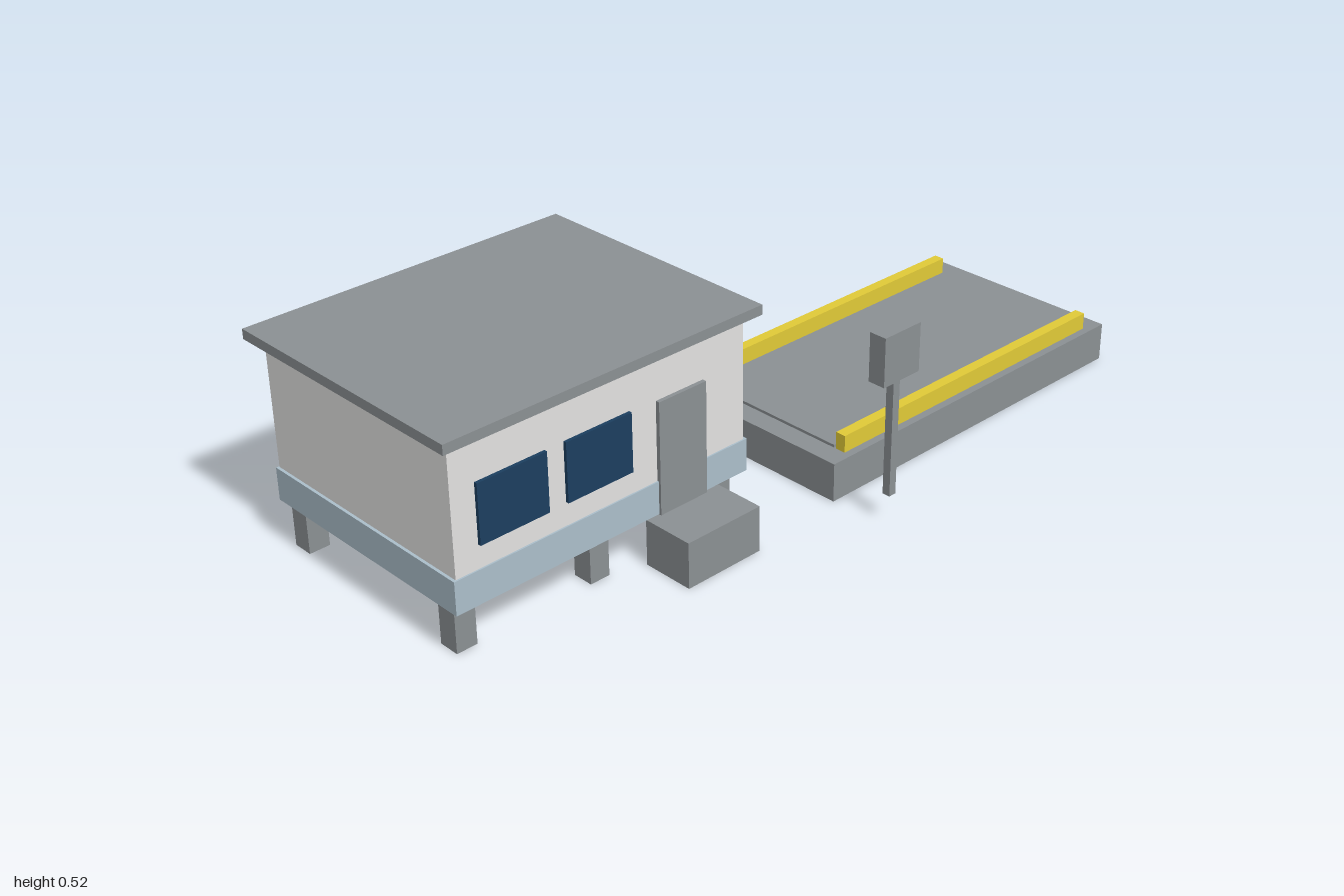
import * as THREE from 'three';

const mat = (name, color) => {
  const m = new THREE.MeshStandardMaterial({ color });
  m.name = name;
  return m;
};

export function createModel() {
  const root = new THREE.Group();
  root.name = 'cabinAndPlatform';
  const grey = mat('grey', 0x8c9194);
  const wall = mat('paleWall', 0xe4e3e2);
  const blue = mat('blueGrey', 0xacbfcb);
  const glass = mat('darkGlass', 0x1c3f60);
  const yellow = mat('yellow', 0xe2cb38);

  // box given by its lower and upper limits on each axis
  const box = (name, material, [x0, x1], [y0, y1], [z0, z1], parent = root) => {
    const mesh = new THREE.Mesh(new THREE.BoxGeometry(x1 - x0, y1 - y0, z1 - z0), material);
    mesh.position.set((x0 + x1) / 2, (y0 + y1) / 2, (z0 + z1) / 2);
    mesh.name = name;
    parent.add(mesh);
  };

  // raised cabin; the walls reach just below the skirt and form the floor
  const cabin = new THREE.Group();
  cabin.name = 'cabin';
  root.add(cabin);
  box('walls', wall, [-0.97, -0.18], [0.113, 0.5], [-0.422, 0.19], cabin);
  box('skirt', blue, [-0.977, -0.173], [0.114, 0.194], [-0.425, 0.194], cabin);
  box('roof', grey, [-1, -0.155], [0.5, 0.524], [-0.454, 0.222], cabin);

  // stilts in two rows of three
  for (const x of [-0.935, -0.58, -0.222])
    for (const z of [-0.38, 0.137])
      box('stilt', grey, [x - 0.026, x + 0.026], [0, 0.114], [z - 0.026, z + 0.026], cabin);

  // front windows, door and step
  for (const x of [-0.822, -0.597])
    box('window', glass, [x - 0.088, x + 0.088], [0.25, 0.392], [0.189, 0.198], cabin);
  box('door', grey, [-0.435, -0.3], [0.113, 0.387], [0.189, 0.2], cabin);
  box('step', grey, [-0.47, -0.26], [0, 0.113], [0.19, 0.321], cabin);

  // cooling unit on the side wall
  box('coolingUnit', grey, [-0.18, -0.1], [0.307, 0.386], [-0.313, -0.208], cabin);

  // low platform with inlaid deck and two rails
  const platform = new THREE.Group();
  platform.name = 'platform';
  root.add(platform);
  box('base', grey, [0.003, 1], [0, 0.097], [-0.235, 0.295], platform);
  box('deck', grey, [0.058, 0.945], [0.097, 0.104], [-0.181, 0.243], platform);
  for (const z of [-0.202, 0.262])
    box('rail', yellow, [0.058, 0.945], [0.097, 0.14], [z - 0.0135, z + 0.0135], platform);

  // display box on a post
  box('post', grey, [0.025, 0.045], [0.067, 0.36], [0.421, 0.441]);
  box('displayBox', grey, [-0.02, 0.092], [0.36, 0.478], [0.409, 0.453]);

  return root;
}
